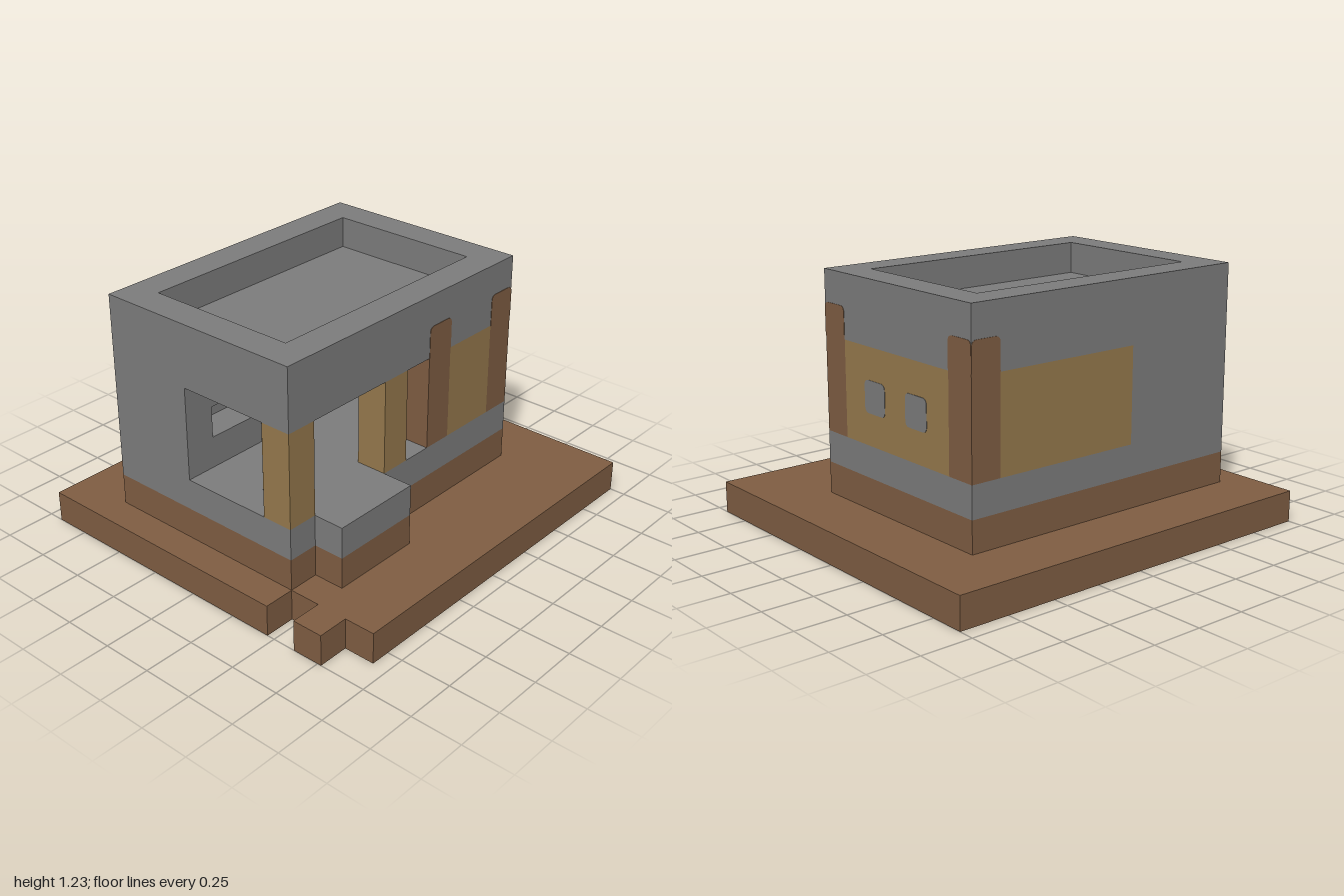
import * as THREE from 'three';

const U = 2 / 13; // grid unit
const mat = (name, color) => {
  const m = new THREE.MeshStandardMaterial({ color });
  m.name = name;
  return m;
};

export function createModel() {
  const house = new THREE.Group();
  house.name = 'house';
  const stone = mat('stone grey', 0x7d7d7d);
  const brown = mat('earth and log brown', 0x805e43);
  const tan = mat('plank tan', 0x977a4d);

  // Box between grid lines: x 0..12, y 0..8, z 0..13
  function block(name, m, x0, x1, y0, y1, z0, z1) {
    const g = new THREE.BoxGeometry((x1 - x0) * U, (y1 - y0) * U, (z1 - z0) * U);
    const mesh = new THREE.Mesh(g, m);
    mesh.position.set(((x0 + x1) / 2 - 6) * U, ((y0 + y1) / 2) * U, ((z0 + z1) / 2 - 6.5) * U);
    mesh.name = name;
    house.add(mesh);
  }

  // Thin painted plate, one unit square, rounded at the top or all round
  function plate(name, m, x, y, z, turn, allRound) {
    const h = U / 2, r = 0.03, b = allRound ? r : 0.0005;
    const s = new THREE.Shape();
    s.moveTo(-h + b, -h);
    s.lineTo(h - b, -h);
    s.quadraticCurveTo(h, -h, h, -h + b);
    s.lineTo(h, h - r);
    s.quadraticCurveTo(h, h, h - r, h);
    s.lineTo(-h + r, h);
    s.quadraticCurveTo(-h, h, -h, h - r);
    s.lineTo(-h, -h + b);
    s.quadraticCurveTo(-h, -h, -h + b, -h);
    const mesh = new THREE.Mesh(new THREE.ExtrudeGeometry(s, { depth: 0.002, bevelEnabled: false }), m);
    mesh.position.set((x - 6) * U, y * U, (z - 6.5) * U);
    mesh.rotation.y = turn;
    mesh.name = name;
    house.add(mesh);
  }

  // Ground with a notched front edge
  block('ground', brown, 0, 12, 0, 1, 0, 12);
  block('groundFront', brown, 0, 9, 0, 1, 12, 13);
  block('groundTab', brown, 10, 11, 0, 1, 12, 13);

  // Foundation, floor and side doorstep
  block('foundation', brown, 2, 9, 1, 2, 2, 12);
  block('floor', stone, 2, 9, 2, 3, 2, 12);
  block('doorstepBase', brown, 9, 10, 1, 2, 8, 11);
  block('doorstep', stone, 9, 10, 2, 3, 8, 11);

  // Log posts with rounded tops painted on the upper band
  for (const [x, z] of [[2, 2], [8, 2], [8, 5]]) block('logPost', brown, x, x + 1, 3, 6, z, z + 1);
  for (const x of [2.5, 8.5]) plate('logTop', brown, x, 6.5, 2, Math.PI, false);
  for (const z of [2.5, 5.5]) plate('logTop', brown, 9, 6.5, z, Math.PI / 2, false);
  plate('logTop', brown, 2, 6.5, 2.5, -Math.PI / 2, false);

  // Plank walls and posts
  block('backWall', tan, 3, 8, 3, 6, 2, 3);
  block('leftPlankWall', tan, 2, 3, 3, 6, 3, 8);
  block('rightPlankWall', tan, 8, 9, 3, 6, 3, 5);
  block('doorPost', tan, 8, 9, 3, 6, 7, 8);
  block('cornerPost', tan, 8, 9, 3, 6, 11, 12);
  for (const x of [4.5, 6.5]) plate('backWindow', stone, x, 4.5, 2, Math.PI, true);

  // Stone corner with a hearth niche
  block('stoneWall', stone, 2, 4, 3, 6, 8, 12);
  block('frontJamb', stone, 4, 5, 3, 6, 11, 12);
  block('hearthLedge', stone, 4, 5, 3, 4, 9, 11);
  block('hearthLintel', stone, 4, 5, 5, 6, 9, 11);
  block('hearthColumn', stone, 4, 6, 3, 6, 8, 9);
  block('hearthPanel', tan, 4, 5, 4, 5, 9, 9.02);

  // Furniture
  block('stoneSeat', stone, 7, 8, 3, 4, 10, 11);
  block('cupboard', tan, 7, 8, 3, 5, 3, 4);

  // Flat roof with a raised rim
  block('roof', stone, 2, 9, 6, 7, 2, 12);
  for (const x of [2, 8]) block('roofRimSide', stone, x, x + 1, 7, 8, 2, 12);
  for (const z of [2, 11]) block('roofRimEnd', stone, 3, 8, 7, 8, z, z + 1);

  return house;
}
